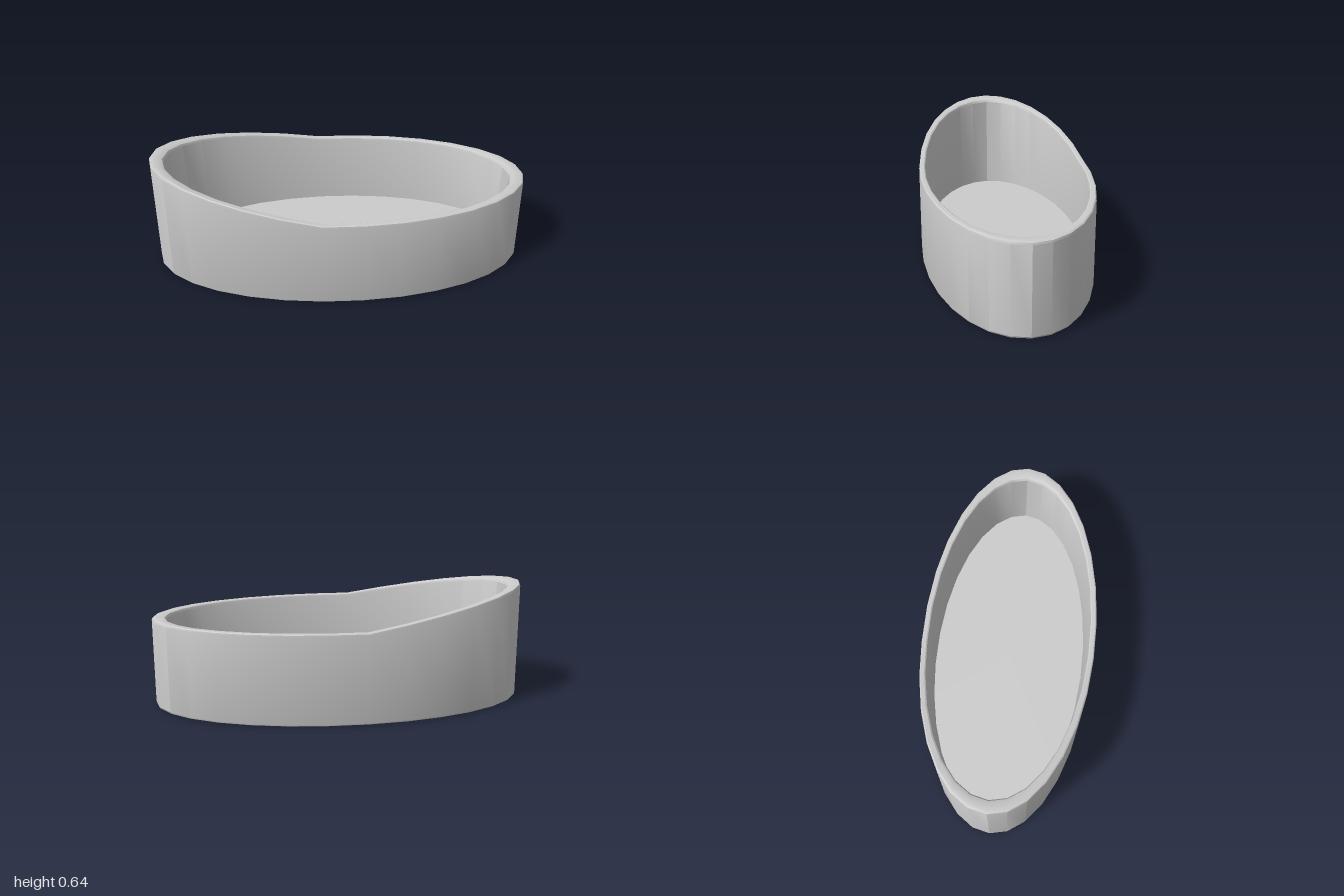
import * as THREE from 'three';
import { toCreasedNormals } from 'three/addons/utils/BufferGeometryUtils.js';

const SIDES = 30;
const HALF_X = 1, HALF_Z = 0.46;

// Rim height: level along one half, rising in a straight ramp towards -x
const rimHeight = (x) => 0.485 + Math.max(0, -x - 0.104) * 0.175;

// Elliptical ring of points; y is measured from the floor, or down from the rim
function ring({ scale, y = 0, fromRim = false }) {
  return Array.from({ length: SIDES }, (_, i) => {
    const a = (i / SIDES) * Math.PI * 2;
    const x = Math.cos(a) * HALF_X * scale;
    const z = Math.sin(a) * HALF_Z * scale;
    return new THREE.Vector3(x, fromRim ? rimHeight(x) + y : y, z);
  });
}

// Skin a series of rings, running up the outside and down the inside
function loft(rings) {
  const pos = [];
  const tri = (...pts) => pts.forEach((p) => pos.push(p.x, p.y, p.z));
  for (let r = 0; r < rings.length - 1; r++) {
    for (let i = 0; i < SIDES; i++) {
      const j = (i + 1) % SIDES;
      const [a, b, c, d] = [rings[r][i], rings[r][j], rings[r + 1][j], rings[r + 1][i]];
      tri(a, d, c);
      tri(a, c, b);
    }
  }
  const geo = new THREE.BufferGeometry();
  geo.setAttribute('position', new THREE.Float32BufferAttribute(pos, 3));
  return toCreasedNormals(geo, 0.42);
}

// Flat elliptical disc facing up or down
function disc(scale, y, up) {
  const geo = new THREE.CircleGeometry(1, SIDES);
  geo.rotateX(up ? -Math.PI / 2 : Math.PI / 2);
  geo.scale(HALF_X * scale, 1, HALF_Z * scale);
  geo.translate(0, y, 0);
  return geo;
}

export function createModel() {
  const group = new THREE.Group();
  group.name = 'ovalTub';
  const material = new THREE.MeshStandardMaterial({ color: 0xcccccc });
  const add = (name, geometry) => {
    const mesh = new THREE.Mesh(geometry, material);
    mesh.name = name;
    group.add(mesh);
  };

  // Wall with softened foot, rounded rim and slightly tapered inside
  const profile = [
    { scale: 0.985, y: 0 },
    { scale: 0.995, y: 0.003 },
    { scale: 1, y: 0.012 },
    { scale: 1, y: -0.014, fromRim: true },
    { scale: 0.996, y: -0.004, fromRim: true },
    { scale: 0.985, y: 0, fromRim: true },
    { scale: 0.945, y: 0, fromRim: true },
    { scale: 0.932, y: -0.004, fromRim: true },
    { scale: 0.925, y: -0.016, fromRim: true },
    { scale: 0.905, y: 0.09 },
  ];
  add('wall', loft(profile.map(ring)));

  // Inside floor and underside
  add('floor', disc(0.905, 0.09, true));
  add('underside', disc(0.985, 0, false));
  return group;
}
